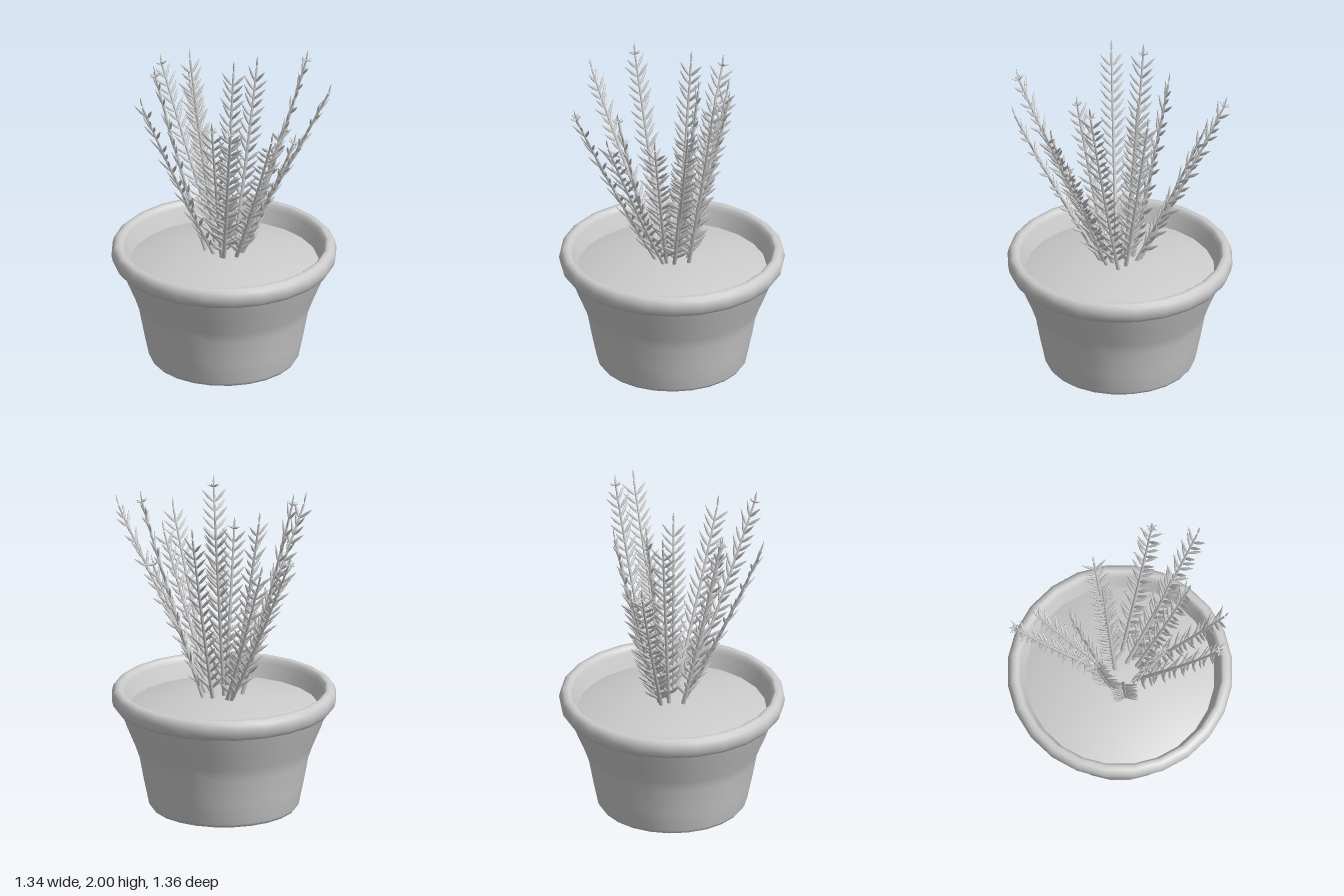
import * as THREE from 'three';
import { mergeGeometries } from 'three/addons/utils/BufferGeometryUtils.js';

const grey = new THREE.MeshStandardMaterial({ color: 0xcccccc });
grey.name = 'grey';

const V = (x, y, z) => new THREE.Vector3(x, y, z);

function lathe(name, profile, segments) {
  const points = profile.map(([r, y]) => new THREE.Vector2(r, y));
  const mesh = new THREE.Mesh(new THREE.LatheGeometry(points, segments), grey);
  mesh.name = name;
  return mesh;
}

// Unit leaf: a flattened pointed spindle, growing along +y and flat in z
function leafGeometry() {
  const outline = [[0.015, 0], [0.07, 0.22], [0.09, 0.48], [0.05, 0.78], [0, 1]];
  const geo = new THREE.LatheGeometry(outline.map(([r, y]) => new THREE.Vector2(r, y)), 6);
  return geo.scale(1, 1, 0.6);
}
const leaf = leafGeometry();

// Leaf growing from a point along dir, with its flat face towards normal
function placeLeaf(at, dir, normal, length, width = 1) {
  const y = dir.clone().normalize();
  const x = y.clone().cross(normal).normalize();
  const z = x.clone().cross(y);
  const m = new THREE.Matrix4().makeBasis(x, y, z).setPosition(at);
  m.multiply(new THREE.Matrix4().makeScale(length * width, length, length * width));
  return leaf.clone().applyMatrix4(m);
}

// Tapering stem following a curve
function stemGeometry(curve) {
  const rings = 14, sides = 6;
  const geo = new THREE.TubeGeometry(curve, rings, 1, sides, false);
  const p = geo.attributes.position;
  for (let i = 0; i <= rings; i++) {
    const c = curve.getPointAt(i / rings);
    const r = 0.013 - 0.007 * (i / rings);
    for (let j = 0; j <= sides; j++) {
      const k = i * (sides + 1) + j;
      const v = V(p.getX(k), p.getY(k), p.getZ(k)).sub(c).multiplyScalar(r).add(c);
      p.setXYZ(k, v.x, v.y, v.z);
    }
  }
  return geo;
}

function sprig([bx, bz, tx, ty, tz, flowering], index) {
  const base = V(bx, 0.67, bz);
  const end = V(tx, ty - 0.07, tz);
  const middle = base.clone().lerp(end, 0.5);
  middle.x += (tx - bx) * 0.05;
  middle.z += (tz - bz) * 0.05;
  const curve = new THREE.QuadraticBezierCurve3(base, middle, end);
  const parts = [stemGeometry(curve)];

  // Paired leaves in a feather arrangement, facing the middle of the pot
  const pairs = Math.round(curve.getLength() / 0.058);
  const outward = V(tx - bx, 0, tz - bz).normalize();
  for (let i = 1; i < pairs; i++) {
    const t = 0.04 + 0.93 * (i / pairs);
    const at = curve.getPointAt(t);
    const along = curve.getTangentAt(t);
    const roll = 0.3 * Math.sin(i * 2.4 + index);
    const side = along.clone().cross(outward).normalize().applyAxisAngle(along, roll);
    const face = side.clone().cross(along);
    const length = 0.132 - 0.022 * t;
    for (const s of [-1, 1]) {
      const dir = along.clone().addScaledVector(side, s * 0.9);
      parts.push(placeLeaf(at, dir, face, length));
    }
  }

  // Tip spike, with a ring of petals on the flowering sprigs
  const along = curve.getTangentAt(1);
  const side = along.clone().cross(outward).normalize();
  parts.push(placeLeaf(end, along.clone().add(V(0, 0.6, 0)), outward, 0.075));
  if (flowering) {
    for (let k = 0; k < 6; k++) {
      const radial = side.clone().applyAxisAngle(along, k * Math.PI / 3);
      const dir = radial.clone().addScaledVector(along, 0.45);
      parts.push(placeLeaf(end, dir, along, 0.042, 1.9));
    }
  }
  const mesh = new THREE.Mesh(mergeGeometries(parts), grey);
  mesh.name = 'sprig' + (index + 1);
  return mesh;
}

export function createModel() {
  const model = new THREE.Group();
  model.name = 'pottedPlant';

  // Pot with a flared wall, rolled rim and domed soil
  const pot = new THREE.Group();
  pot.name = 'pot';
  pot.position.z = -0.01;
  pot.add(
    lathe('potBody', [[0, 0.008], [0.4, 0.008], [0.433, 0.013], [0.448, 0.035], [0.478, 0.18],
      [0.506, 0.33], [0.53, 0.4], [0.58, 0.52], [0.622, 0.635]], 24),
    lathe('rim', [[0.61, 0.625], [0.645, 0.63], [0.663, 0.655], [0.672, 0.695], [0.664, 0.73],
      [0.645, 0.748], [0.62, 0.752], [0.604, 0.742], [0.594, 0.715], [0.575, 0.66], [0.555, 0.6]], 24),
    lathe('soil', [[0.565, 0.625], [0.45, 0.658], [0.3, 0.685], [0.15, 0.702], [0, 0.708]], 24),
  );
  model.add(pot);

  // Sprigs: base x, base z, tip x, tip y, tip z, flowering
  const sprigs = [
    [-0.02, -0.11, -0.32, 1.75, -0.55, true],
    [0.0, -0.1, -0.16, 1.67, -0.49, false],
    [-0.04, -0.07, -0.18, 1.92, -0.25, false],
    [-0.1, -0.02, -0.41, 1.94, 0.0, true],
    [-0.05, 0.03, -0.51, 1.86, 0.24, false],
    [-0.02, 0.08, -0.1, 1.7, 0.3, true],
    [-0.01, 0.08, -0.02, 1.85, 0.64, true],
    [0.06, 0.07, 0.23, 1.75, 0.57, false],
    [0.06, 0.06, 0.32, 1.7, 0.3, false],
    [0.09, 0.03, 0.4, 1.54, 0.16, true],
    [0.05, 0.0, 0.6, 1.9, 0.24, false],
    [0.12, -0.05, 0.49, 2.0, -0.01, true],
    [0.07, -0.07, 0.22, 1.84, -0.27, false],
    [0.0, -0.04, 0.07, 1.87, -0.15, false],
  ];
  const plant = new THREE.Group();
  plant.name = 'plant';
  sprigs.forEach((s, i) => plant.add(sprig(s, i)));
  model.add(plant);
  return model;
}
